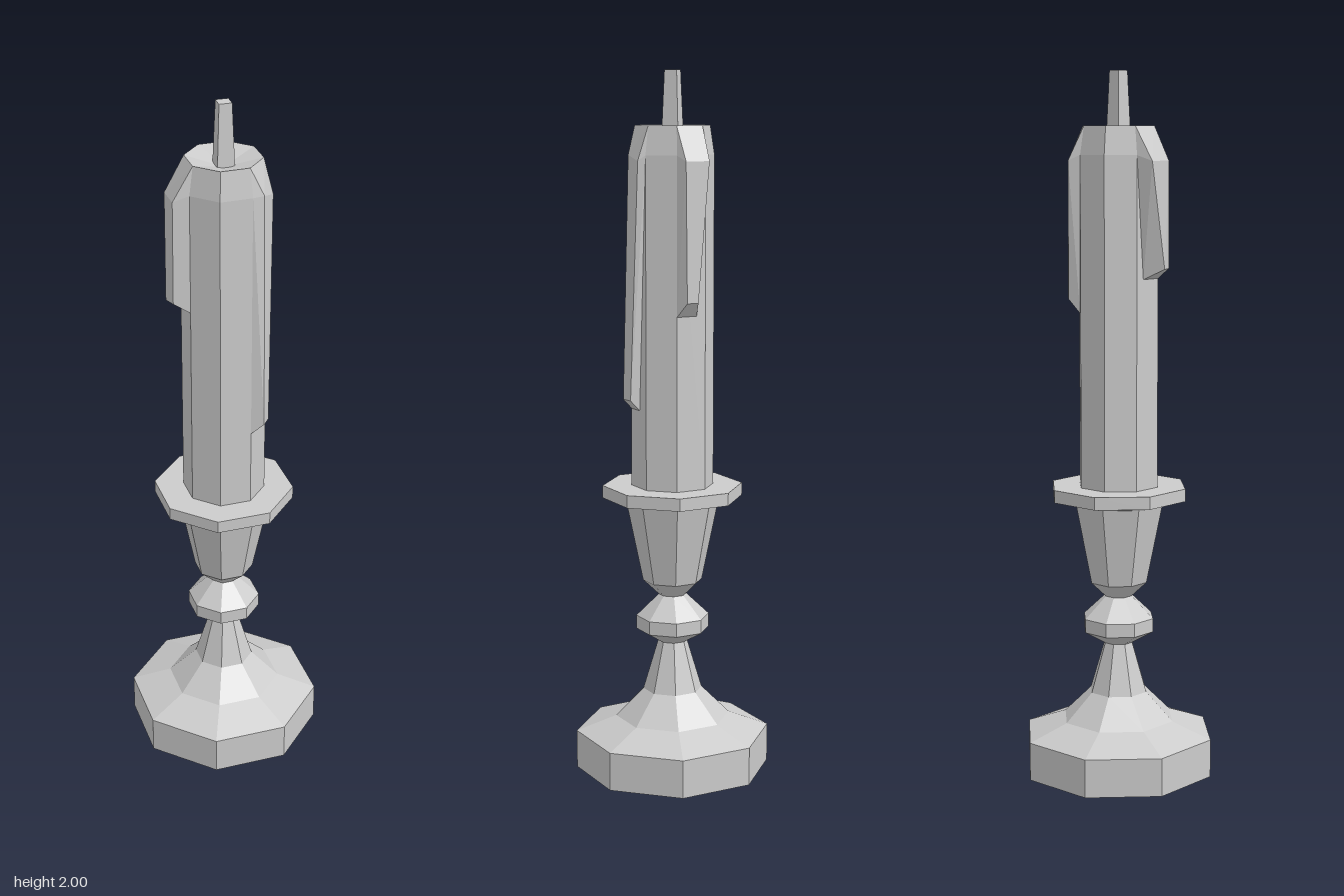
import * as THREE from 'three';
import { ConvexGeometry } from 'three/addons/geometries/ConvexGeometry.js';

const material = new THREE.MeshStandardMaterial({ color: 0xcccccc, flatShading: true });

function addMesh(group, name, geometry) {
  const mesh = new THREE.Mesh(geometry, material);
  mesh.name = name;
  group.add(mesh);
  return mesh;
}

// Eight-sided turned part from [radius, height] pairs, bottom to top
function turned(profile) {
  return new THREE.LatheGeometry(profile.map(([r, y]) => new THREE.Vector2(r, y)), 8);
}

// Candle sizes
const BODY = 0.117, RIM = 0.105, SHOULDER = 1.77, TOP = 1.85;

// Point on corner i of the candle's octagon
function corner(i, r, y) {
  const a = (i * Math.PI) / 4;
  return new THREE.Vector3(r * Math.sin(a), y, r * Math.cos(a));
}

// Wax run lying on the candle side between corners i and i + 1
function waxRun({ side, foot, outer }) {
  const points = outer.map((p) => new THREE.Vector3(...p));
  for (const i of [side, side + 1]) {
    points.push(corner(i, RIM, TOP), corner(i, BODY, SHOULDER));
  }
  // foot: height and the span [from, to] along the candle side
  const a = corner(side, BODY, foot.y), b = corner(side + 1, BODY, foot.y);
  points.push(a.clone().lerp(b, foot.from), a.clone().lerp(b, foot.to));
  return new ConvexGeometry(points);
}

export function createModel() {
  const group = new THREE.Group();
  group.name = 'candlestick';

  // Foot, stem, knob, cup and drip plate
  addMesh(group, 'holder', turned([
    [0, 0], [0.28, 0], [0.28, 0.11], [0.165, 0.153], [0.085, 0.233],
    [0.042, 0.377], [0.105, 0.414], [0.105, 0.453], [0.04, 0.515],
    [0.085, 0.558], [0.132, 0.787], [0.2, 0.802], [0.2, 0.838], [0, 0.838],
  ]));

  // Candle with a bevelled shoulder and a dished top
  addMesh(group, 'candle', turned([
    [BODY, 0.83], [BODY, SHOULDER], [RIM, TOP], [0, 1.82],
  ]));

  // Tapered square wick
  const wick = addMesh(group, 'wick', new THREE.CylinderGeometry(0.025, 0.035, 0.2, 4));
  wick.position.y = 1.9;
  wick.rotation.y = 0.36;

  // Three runs of wax: front, right back and left back
  const runs = {
    frontWaxRun: {
      side: 0, foot: { y: 1.06, from: 0, to: 0.57 },
      outer: [[0.032, 1.77, 0.126], [0.082, 1.755, 0.104], [0.026, 1.09, 0.142], [0.058, 1.09, 0.124]],
    },
    leftWaxRun: {
      side: 2, foot: { y: 1.33, from: 0, to: 0.69 },
      outer: [[0.141, 1.755, -0.022], [0.116, 1.755, -0.089], [0.141, 1.37, -0.026], [0.128, 1.37, -0.058]],
    },
    rightWaxRun: {
      side: 5, foot: { y: 1.43, from: 0.3, to: 1 },
      outer: [[-0.129, 1.755, -0.09], [-0.155, 1.755, -0.024], [-0.155, 1.46, -0.058], [-0.156, 1.46, -0.025]],
    },
  };
  for (const [name, run] of Object.entries(runs)) addMesh(group, name, waxRun(run));

  return group;
}
